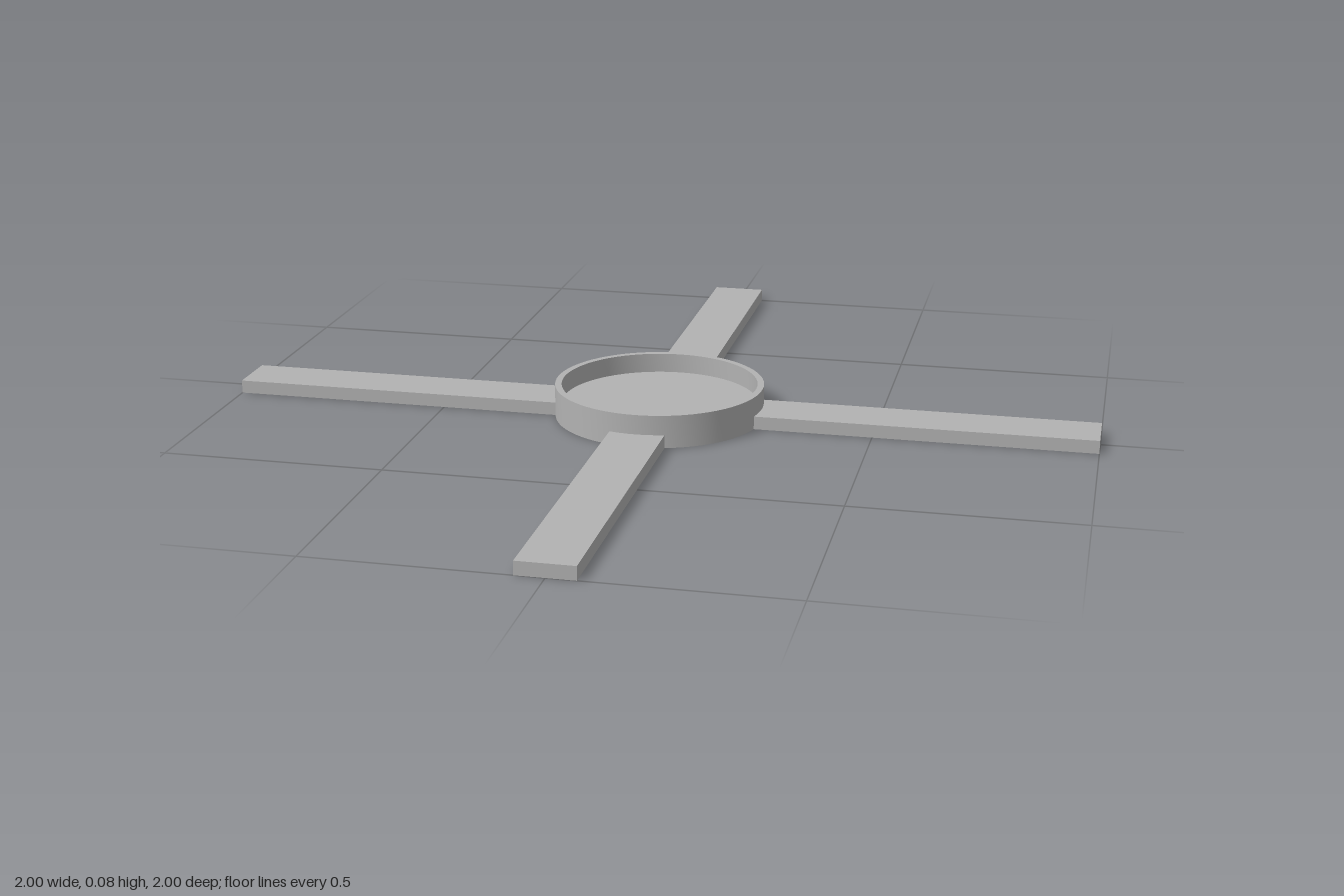
import * as THREE from 'three';
import { toCreasedNormals } from 'three/addons/utils/BufferGeometryUtils.js';

const RADIUS = 0.24, INNER = 0.225, HEIGHT = 0.075;
const ARM_WIDTH = 0.125, ARM_HEIGHT = 0.03, ARM_START = 0.23;

export function createModel() {
  const group = new THREE.Group();
  const grey = new THREE.MeshStandardMaterial({ color: 0xb2b2b2 });
  grey.name = 'grey';

  // Shallow round tray: underside, outer wall, rim, inner wall, floor
  const profile = [
    [0, 0], [RADIUS, 0], [RADIUS, HEIGHT], [INNER, HEIGHT], [INNER, ARM_HEIGHT], [0, ARM_HEIGHT],
  ].map(([r, y]) => new THREE.Vector2(r, y));
  const tray = new THREE.Mesh(toCreasedNormals(new THREE.LatheGeometry(profile, 72), 0.5), grey);
  tray.name = 'tray';
  group.add(tray);

  // Four flat arms, each starting inside the tray wall
  const length = 1 - ARM_START;
  const armGeometry = new THREE.BoxGeometry(length, ARM_HEIGHT, ARM_WIDTH);
  armGeometry.translate(ARM_START + length / 2, ARM_HEIGHT / 2, 0);
  ['leftArm', 'backArm', 'rightArm', 'frontArm'].forEach((name, i) => {
    const arm = new THREE.Mesh(armGeometry, grey);
    arm.name = name;
    arm.rotation.y = i * Math.PI / 2;
    group.add(arm);
  });

  return group;
}
